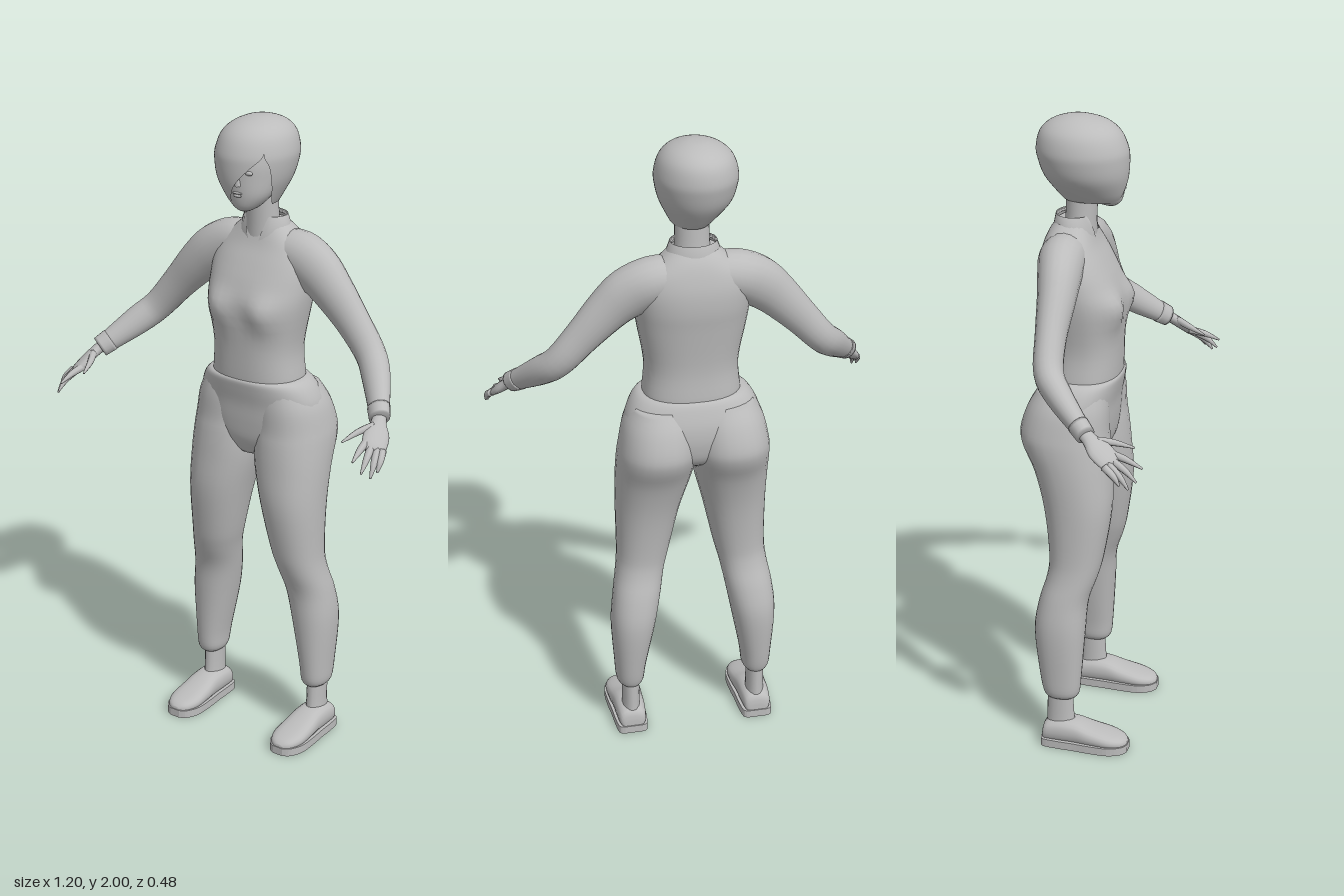
import * as THREE from 'three';

const grey = new THREE.MeshStandardMaterial({ color: 0xbcbcbc });
grey.name = 'plain grey';
const greySheet = new THREE.MeshStandardMaterial({ color: 0xbcbcbc, side: THREE.DoubleSide });
greySheet.name = 'plain grey sheet';

// Catmull-Rom through rows of numbers
function smooth(rows, sub = 4) {
  const out = [];
  const at = (i) => rows[Math.min(rows.length - 1, Math.max(0, i))];
  for (let i = 0; i < rows.length - 1; i++) {
    for (let k = 0; k < sub; k++) {
      const t = k / sub;
      out.push(rows[i].map((b, j) => {
        const a = at(i - 1)[j], c = at(i + 1)[j], d = at(i + 2)[j];
        return b + 0.5 * t * (c - a + t * (2 * a - 5 * b + 4 * c - d + t * (3 * (b - c) + d - a)));
      }));
    }
  }
  out.push(rows[rows.length - 1]);
  return out;
}

// Skin a list of point rings; open rings make sheets, closed ones are capped
function skin(rings, open = false) {
  const n = rings[0].length, pos = rings.flat(2), idx = [];
  for (let i = 0; i < rings.length - 1; i++) {
    for (let j = 0; j < (open ? n - 1 : n); j++) {
      const k = (j + 1) % n, a = i * n + j, b = i * n + k;
      idx.push(a, b, a + n, b, b + n, a + n);
    }
  }
  if (!open) {
    for (const i of [0, rings.length - 1]) {
      const c = [0, 1, 2].map((m) => rings[i].reduce((s, p) => s + p[m], 0) / n);
      const ci = pos.length / 3;
      pos.push(...c);
      for (let j = 0; j < n; j++) {
        const a = i * n + j, b = i * n + (j + 1) % n;
        if (i === 0) idx.push(b, a, ci); else idx.push(a, b, ci);
      }
    }
  }
  // Turn the faces outward whichever way the rings run
  const P = (i) => new THREE.Vector3().fromArray(pos, i * 3);
  const mid = new THREE.Box3().setFromArray(pos).getCenter(new THREE.Vector3());
  let vol = 0;
  for (let i = 0; i < idx.length; i += 3) {
    const [a, b, c] = [0, 1, 2].map((k) => P(idx[i + k]).sub(mid));
    vol += a.dot(b.cross(c));
  }
  if (vol < 0) idx.reverse();
  const g = new THREE.BufferGeometry();
  g.setAttribute('position', new THREE.Float32BufferAttribute(pos, 3));
  g.setIndex(idx);
  g.computeVertexNormals();
  return g;
}

const around = (n, f) => Array.from({ length: n }, (_, j) => f((j / n) * Math.PI * 2));
const bend = (v, e) => Math.sign(v) * Math.abs(v) ** e;

// Upright body: rows are [y, x min, x max, z front, z back]
function upright(rows, { e = 1, n = 28, side = 1, shape = (p) => p } = {}) {
  return skin(smooth(rows).map(([y, x0, x1, f, b]) => around(n, (a) => shape([
    side * ((x0 + x1) / 2 + (x1 - x0) / 2 * bend(Math.sin(a), e)), y,
    (f + b) / 2 + (f - b) / 2 * bend(Math.cos(a), e)]))));
}

// Limb along a path: rows are [x, y, z, radius along ref, other radius]
function limb(rows, ref, side = 1, n = 14) {
  const s = smooth(rows);
  const v = (r) => new THREE.Vector3(r[0], r[1], r[2]);
  return skin(s.map((r, i) => {
    const t = v(s[Math.min(i + 1, s.length - 1)]).sub(v(s[Math.max(i - 1, 0)])).normalize();
    const u = new THREE.Vector3(...ref).addScaledVector(t, -t.dot(new THREE.Vector3(...ref))).normalize();
    const w = t.clone().cross(u);
    return around(n, (a) => {
      const p = v(r).addScaledVector(u, r[3] * Math.cos(a)).addScaledVector(w, r[4] * Math.sin(a));
      return [side * p.x, p.y, p.z];
    });
  }));
}

export function createModel() {
  const model = new THREE.Group();
  model.name = 'woman';
  const add = (name, geo, mat = grey, pos) => {
    const m = new THREE.Mesh(geo, mat);
    m.name = name;
    if (pos) m.position.set(...pos);
    model.add(m);
    return m;
  };
  const sym = (rows) => rows.map(([y, r, f, b]) => [y, -r, r, f, b]);

  // Jacket body with bust
  add('jacket', upright(sym([
    [1.17, 0.145, 0.035, -0.17], [1.2, 0.15, 0.042, -0.178], [1.3, 0.143, 0.045, -0.175],
    [1.43, 0.165, 0.048, -0.19], [1.5, 0.172, 0.03, -0.2], [1.56, 0.17, 0.002, -0.2],
    [1.61, 0.15, -0.025, -0.19], [1.65, 0.105, -0.04, -0.175], [1.68, 0.07, -0.05, -0.155]]), {
    e: 0.85, n: 40,
    shape: ([x, y, z]) => {
      const d = ((Math.abs(x) - 0.085) / 0.05) ** 2 + ((y - 1.425) / 0.05) ** 2;
      return [x, y, z > -0.06 ? z + 0.026 * Math.exp(-d) : z];
    },
  }));

  // Collar, open in a V at the front
  add('collar', skin([[1.6, 0.095, 0.07, 0.1], [1.65, 0.088, 0.068, 0.3], [1.7, 0.07, 0.058, 0.62], [1.69, 0.064, 0.052, 0.62]]
    .map(([y, rx, rz, gap]) => Array.from({ length: 25 }, (_, j) => {
      const a = gap + (j / 24) * (Math.PI * 2 - 2 * gap);
      return [rx * Math.sin(a), y, -0.1 + rz * Math.cos(a)];
    })), true), greySheet);

  // Trousers: pelvis with a rounded waist
  add('trouserPelvis', upright(sym([
    [0.95, 0.05, 0.0, -0.12], [1.0, 0.15, 0.022, -0.19], [1.06, 0.2, 0.03, -0.21], [1.12, 0.21, 0.034, -0.21],
    [1.17, 0.193, 0.043, -0.197], [1.2, 0.168, 0.046, -0.183], [1.207, 0.14, 0.03, -0.165]]), { e: 0.85, n: 36 }));

  // Head and neck
  add('neck', upright(sym([[1.6, 0.062, -0.035, -0.14], [1.68, 0.053, -0.035, -0.13], [1.8, 0.05, -0.03, -0.125]])));
  add('head', upright(sym([
    [1.73, 0.018, 0.026, -0.01], [1.745, 0.042, 0.042, -0.05], [1.78, 0.07, 0.05, -0.09], [1.83, 0.085, 0.052, -0.14],
    [1.88, 0.09, 0.05, -0.16], [1.93, 0.085, 0.03, -0.16], [1.965, 0.05, -0.02, -0.13]])));
  const nose = add('nose', new THREE.ConeGeometry(0.012, 0.045, 8), grey, [0.004, 1.835, 0.053]);
  nose.rotation.x = 0.25;
  for (const [name, x, y, z, w, h] of [['eye', 0.038, 1.853, 0.042, 0.014, 0.007], ['upperLip', 0.002, 1.79, 0.049, 0.018, 0.004],
    ['lowerLip', 0.002, 1.782, 0.048, 0.015, 0.005]]) {
    add(name, new THREE.SphereGeometry(1, 12, 8), grey, [x, y, z]).scale.set(w, h, 0.007);
  }

  // Bobbed hair with a diagonal fringe: [y, centre x, half width, front, back, gap start, gap end]
  add('hair', skin(smooth([
    [1.745, 0, 0.06, 0.04, -0.135, -18, 88], [1.77, -0.005, 0.078, 0.052, -0.155, -11, 76],
    [1.82, -0.012, 0.108, 0.064, -0.19, 8, 64], [1.87, -0.013, 0.121, 0.067, -0.208, 30, 56],
    [1.905, -0.013, 0.122, 0.063, -0.213, 46, 47], [1.95, -0.012, 0.108, 0.042, -0.202, 46, 46],
    [1.98, -0.01, 0.078, 0.005, -0.172, 46, 46], [1.997, -0.01, 0.035, -0.05, -0.125, 46, 46],
    [2, -0.01, 0.001, -0.085, -0.087, 46, 46]])
    .map(([y, cx, r, f, b, g0, g1]) => Array.from({ length: 49 }, (_, j) => {
      const a = THREE.MathUtils.degToRad(g1 + (j / 48) * (360 + g0 - g1));
      return [cx + r * Math.sin(a), y, (f + b) / 2 + (f - b) / 2 * Math.cos(a)];
    })), true), greySheet);

  for (const [side, label] of [[1, 'left'], [-1, 'right']]) {
    const part = (name) => label + name;

    // Trouser leg, up to the seat
    add(part('TrouserLeg'), upright([
      [0.165, 0.18, 0.232, -0.06, -0.14], [0.185, 0.164, 0.25, -0.042, -0.155], [0.25, 0.155, 0.256, -0.035, -0.168],
      [0.4, 0.125, 0.265, -0.025, -0.185], [0.5, 0.106, 0.256, -0.018, -0.172], [0.58, 0.09, 0.242, 0.008, -0.15],
      [0.65, 0.072, 0.236, 0.025, -0.146], [0.8, 0.038, 0.237, 0.046, -0.165], [0.92, 0.006, 0.238, 0.042, -0.198],
      [1.0, -0.006, 0.236, 0.036, -0.236], [1.05, -0.006, 0.23, 0.03, -0.243], [1.12, -0.002, 0.214, 0.028, -0.222],
      [1.175, 0.02, 0.185, 0.02, -0.19]], { e: 0.92, side }));

    // Ankle and shoe
    add(part('Ankle'), upright([[0.05, 0.175, 0.238, -0.05, -0.15], [0.1, 0.178, 0.234, -0.058, -0.147],
      [0.2, 0.178, 0.234, -0.063, -0.145]], { side, n: 16 }));
    const shoe = [[-0.158, 0.025, 0.045], [-0.148, 0.042, 0.078], [-0.1, 0.048, 0.092], [-0.05, 0.05, 0.09], [0, 0.054, 0.074],
      [0.06, 0.054, 0.058], [0.1, 0.037, 0.046], [0.116, 0.014, 0.034]];
    add(part('Shoe'), skin(smooth(shoe).map(([z, w, h]) => around(20, (a) => [
      side * 0.207 + w * bend(Math.cos(a), 0.8), 0.012 + (h - 0.012) * (0.5 + 0.5 * bend(Math.sin(a), 0.8)), z]))));
    const edge = smooth(shoe);
    const outline = new THREE.Shape([...edge.map(([z, w]) => new THREE.Vector2(w + 0.004, -z * 1.02)),
      ...edge.reverse().map(([z, w]) => new THREE.Vector2(-w - 0.004, -z * 1.02))]);
    add(part('Sole'), new THREE.ExtrudeGeometry(outline, { depth: 0.026, bevelEnabled: false }), grey,
      [side * 0.207, 0, 0]).rotation.x = -Math.PI / 2;

    // Sleeve and cuff
    const across = [0.7, 0.7, 0];
    add(part('Sleeve'), limb([
      [0.04, 1.595, -0.11, 0.06, 0.065], [0.12, 1.585, -0.11, 0.075, 0.07], [0.19, 1.55, -0.1, 0.078, 0.064],
      [0.25, 1.5, -0.093, 0.068, 0.056], [0.33, 1.415, -0.088, 0.055, 0.046], [0.4, 1.335, -0.075, 0.048, 0.044],
      [0.45, 1.285, -0.03, 0.046, 0.04], [0.515, 1.218, 0.052, 0.033, 0.028]], across, side, 20));
    add(part('Cuff'), limb([[0.505, 1.228, 0.04, 0.037, 0.032], [0.527, 1.206, 0.068, 0.034, 0.029]], across, side, 16));

    // Palm and fingers
    const palmWidth = [-0.85, 0.5, 0.15];
    add(part('Hand'), limb([
      [0.515, 1.218, 0.052, 0.022, 0.02], [0.532, 1.198, 0.08, 0.023, 0.017], [0.545, 1.175, 0.11, 0.038, 0.016],
      [0.557, 1.15, 0.143, 0.037, 0.014], [0.562, 1.14, 0.155, 0.03, 0.009]], palmWidth, side));
    const fingers = {
      Thumb: [[0.528, 1.195, 0.1], [0.503, 1.183, 0.145], [0.484, 1.165, 0.2]],
      IndexFinger: [[0.532, 1.162, 0.14], [0.54, 1.15, 0.19], [0.546, 1.13, 0.238]],
      MiddleFinger: [[0.55, 1.153, 0.143], [0.563, 1.128, 0.19], [0.568, 1.095, 0.226]],
      RingFinger: [[0.568, 1.143, 0.143], [0.582, 1.115, 0.18], [0.588, 1.08, 0.207]],
      LittleFinger: [[0.582, 1.14, 0.135], [0.593, 1.118, 0.165], [0.596, 1.092, 0.183]],
    };
    for (const [name, pts] of Object.entries(fingers)) {
      const r = [0.012, 0.01, 0.003];
      add(part(name), limb(pts.map((p, i) => [...p, r[i], r[i]]), palmWidth, side, 8));
    }
  }
  return model;
}
